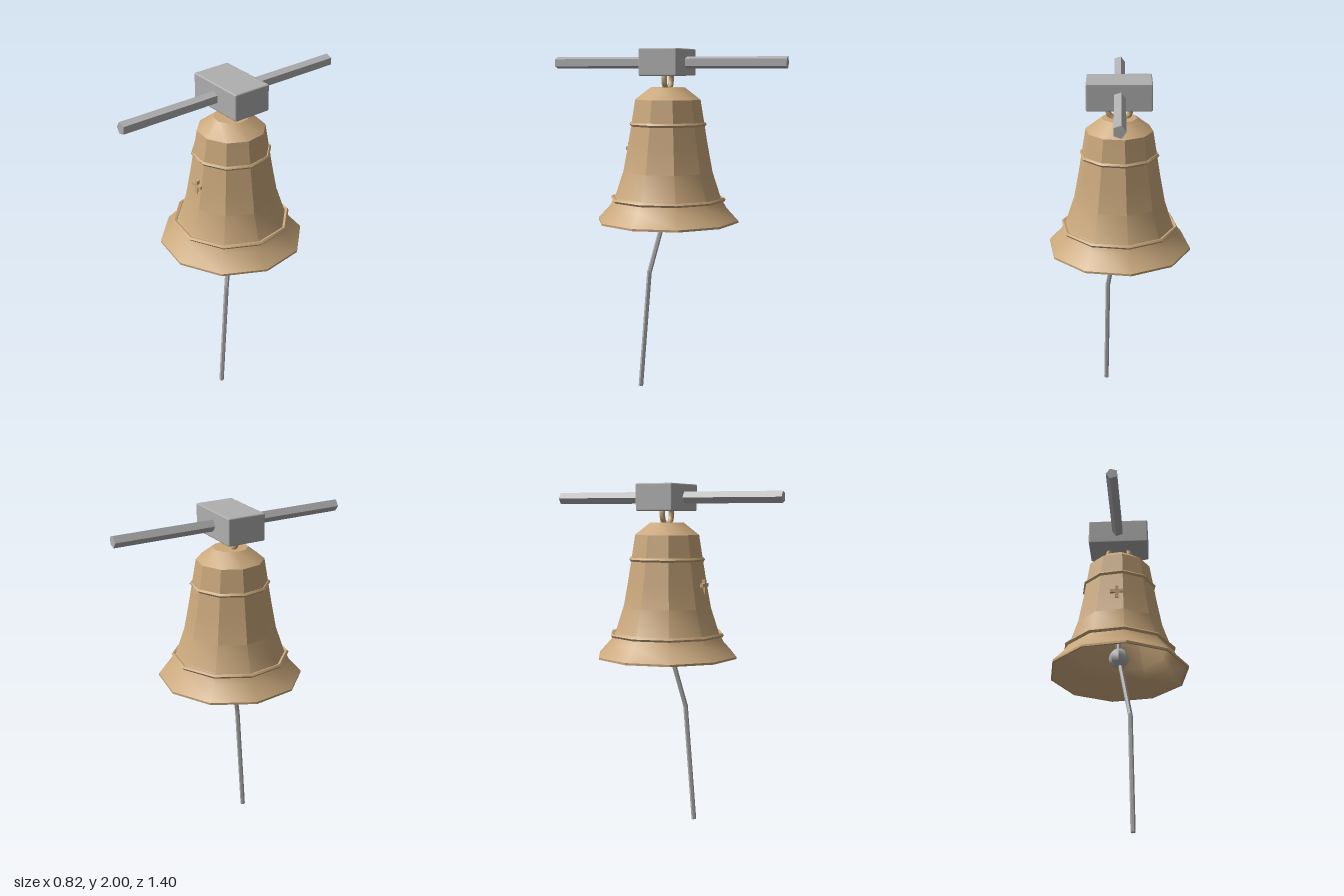
import * as THREE from 'three';
import { toCreasedNormals } from 'three/addons/utils/BufferGeometryUtils.js';
import { RoundedBoxGeometry } from 'three/addons/geometries/RoundedBoxGeometry.js';

const SIDES = 10;
const TURN = Math.PI / 20; // shared rotation of the ten-sided bell and its rings
const CREASE = 0.6;

export function createModel() {
  const model = new THREE.Group();
  const bronze = new THREE.MeshStandardMaterial({ color: 0xcaa87c });
  const iron = new THREE.MeshStandardMaterial({ color: 0xb0b0b0 });

  function add(name, geometry, material, x = 0, y = 0, z = 0) {
    const mesh = new THREE.Mesh(geometry, material);
    mesh.name = name;
    mesh.position.set(x, y, z);
    model.add(mesh);
    return mesh;
  }

  // Straight rod between two points
  function addRod(name, from, to, radius, sides) {
    const a = new THREE.Vector3(...from);
    const dir = new THREE.Vector3(...to).sub(a);
    const geometry = toCreasedNormals(new THREE.CylinderGeometry(radius, radius, dir.length(), sides), CREASE);
    const rod = add(name, geometry, iron);
    rod.position.copy(a).addScaledVector(dir, 0.5);
    rod.quaternion.setFromUnitVectors(new THREE.Vector3(0, 1, 0), dir.normalize());
  }

  // Bell: hollow shell, inner wall down to the lip, then the outer wall up
  const outer = [
    [0.417, 1.0], [0.417, 1.012], [0.345, 1.09], [0.312, 1.15], [0.264, 1.295],
    [0.235, 1.45], [0.192, 1.71], [0.1, 1.78], [0, 1.78],
  ];
  const inner = [
    [0, 1.76], [0.09, 1.76], [0.177, 1.7], [0.22, 1.45], [0.249, 1.295],
    [0.297, 1.15], [0.33, 1.09], [0.405, 1.0],
  ];
  const profile = [...inner, ...outer].map(([r, y]) => new THREE.Vector2(r, y));
  add('bellBody', toCreasedNormals(new THREE.LatheGeometry(profile, SIDES, TURN), CREASE), bronze);

  // Raised rings around the bell
  for (const [name, radius, y] of [['upperRing', 0.216, 1.57], ['lowerRing', 0.33, 1.135]]) {
    const ring = new THREE.TorusGeometry(radius, 0.012, 5, SIDES);
    ring.rotateZ(TURN).rotateX(Math.PI / 2);
    add(name, toCreasedNormals(ring, CREASE), bronze, 0, y);
  }

  // Raised cross on the front
  add('crossUpright', new THREE.BoxGeometry(0.02, 0.08, 0.02), bronze, 0, 1.417, 0.235);
  add('crossArm', new THREE.BoxGeometry(0.08, 0.02, 0.02), bronze, 0, 1.425, 0.235);

  // Hanging loop joining the bell to the block
  add('hangingLoop', new THREE.TorusGeometry(0.065, 0.016, 6, 12), bronze, 0, 1.83);

  // Block with a five-sided beam running front to back
  add('yokeBlock', new RoundedBoxGeometry(0.364, 0.154, 0.226, 1, 0.008), iron, 0, 1.923, 0);
  const beam = new THREE.CylinderGeometry(0.035, 0.035, 1.4, 5);
  beam.rotateY(-Math.PI / 2).rotateX(Math.PI / 2);
  add('beam', toCreasedNormals(beam, CREASE), iron, 0, 1.921, 0);

  // Clapper and its bent pull rope
  addRod('clapperStem', [0, 1.77, 0], [0, 1.1, 0], 0.014, 6);
  add('clapperBall', toCreasedNormals(new THREE.SphereGeometry(0.062, 8, 6), CREASE), iron, 0, 1.1, 0);
  addRod('upperRope', [0, 1.1, 0], [0.069, 0.7, 0.09], 0.014, 6);
  addRod('lowerRope', [0.069, 0.705, 0.09], [0.083, 0.002, 0.142], 0.014, 6);

  return model;
}
